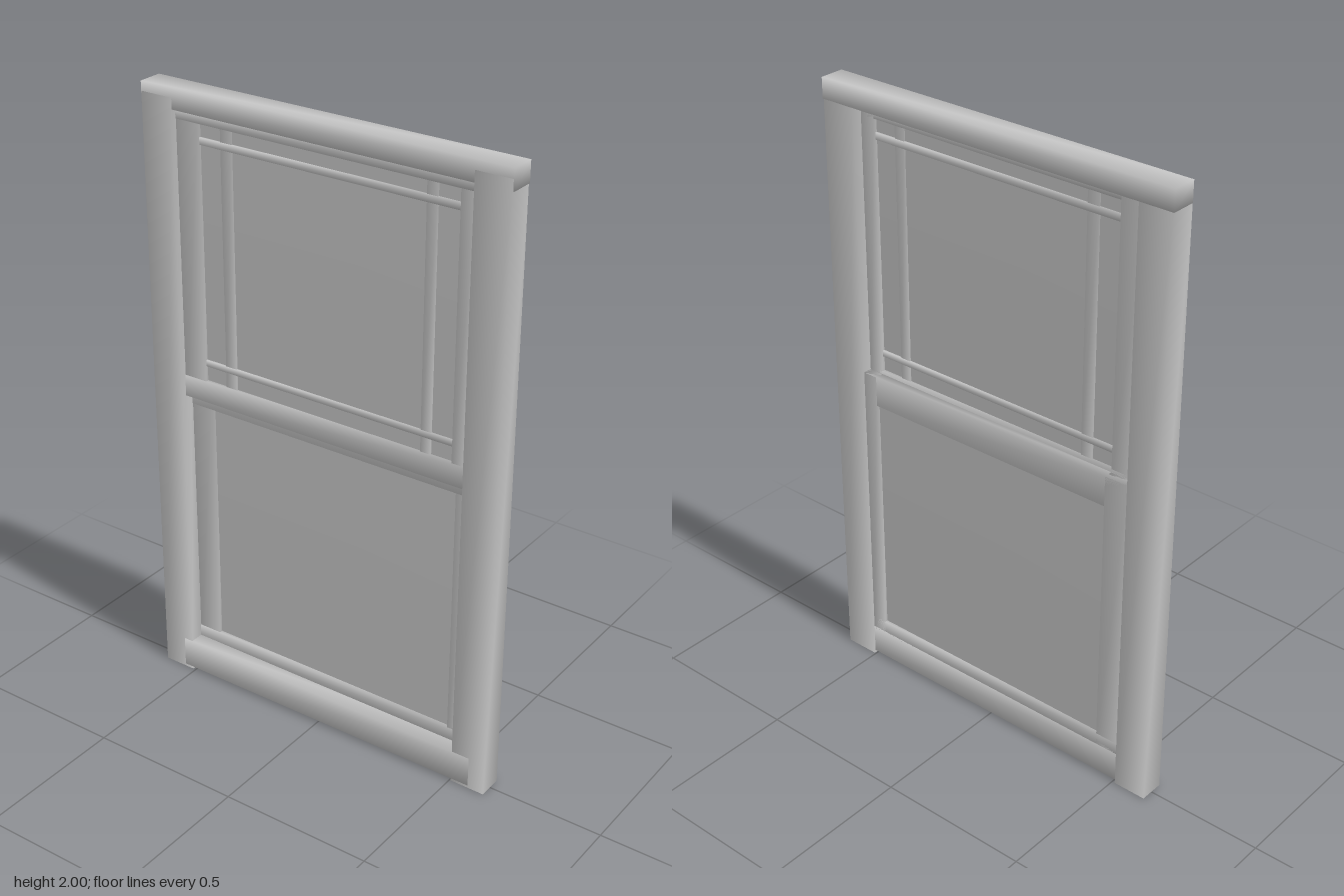
import * as THREE from 'three';
import { mergeVertices } from 'three/addons/utils/BufferGeometryUtils.js';

const material = new THREE.MeshStandardMaterial({ color: 0xcccccc });

// Box from its limits, with corners shared so the shading rolls softly over the edges
function bar(parent, name, [x0, x1], [y0, y1], [z0, z1]) {
  let geometry = new THREE.BoxGeometry(x1 - x0, y1 - y0, z1 - z0);
  geometry.deleteAttribute('uv');
  geometry.deleteAttribute('normal');
  geometry = mergeVertices(geometry);
  geometry.computeVertexNormals();
  const mesh = new THREE.Mesh(geometry, material);
  mesh.name = name;
  mesh.position.set((x0 + x1) / 2, (y0 + y1) / 2, (z0 + z1) / 2);
  parent.add(mesh);
}

// Sash: two stiles, two rails and a pane
const outer = [-0.51, 0.505];
const inner = [-0.43, 0.455];
function sash(name, bottomRail, topRail, z) {
  const group = new THREE.Group();
  group.name = name;
  const height = [bottomRail[0], topRail[1]];
  const mid = (z[0] + z[1]) / 2;
  bar(group, 'rightStile', [outer[0], inner[0]], height, z);
  bar(group, 'leftStile', [inner[1], outer[1]], height, z);
  bar(group, 'bottomRail', outer, bottomRail, [z[0], z[1] + 0.002]);
  bar(group, 'topRail', outer, topRail, [z[0], z[1] + 0.002]);
  bar(group, 'pane', inner, [bottomRail[1], topRail[0]], [mid - 0.003, mid + 0.003]);
  return group;
}

export function createModel() {
  const model = new THREE.Group();
  model.name = 'sashWindow';

  // Outer frame
  const frame = new THREE.Group();
  frame.name = 'frame';
  bar(frame, 'rightJamb', [-0.62, -0.51], [0, 1.97], [-0.04, 0.041]);
  bar(frame, 'leftJamb', [0.505, 0.62], [0, 1.97], [-0.04, 0.041]);
  bar(frame, 'head', [-0.622, 0.622], [1.935, 2], [-0.042, 0.039]);
  bar(frame, 'sill', [-0.54, 0.565], [0.01, 0.11], [-0.036, 0.043]);
  model.add(frame);

  // The upper sash runs in front of the lower one
  const upper = sash('upperSash', [1.015, 1.085], [1.905, 1.94], [-0.007, 0.022]);
  const lower = sash('lowerSash', [0.1, 0.15], [0.975, 1.075], [-0.036, -0.008]);
  model.add(upper, lower);

  // Glazing bars close to the edges of the upper pane
  for (const x of [[-0.355, -0.315], [0.345, 0.38]])
    bar(upper, 'uprightGlazingBar', x, [1.085, 1.905], [0.0, 0.015]);
  for (const y of [[1.135, 1.155], [1.84, 1.862]])
    bar(upper, 'crossGlazingBar', inner, y, [-0.002, 0.017]);

  return model;
}
